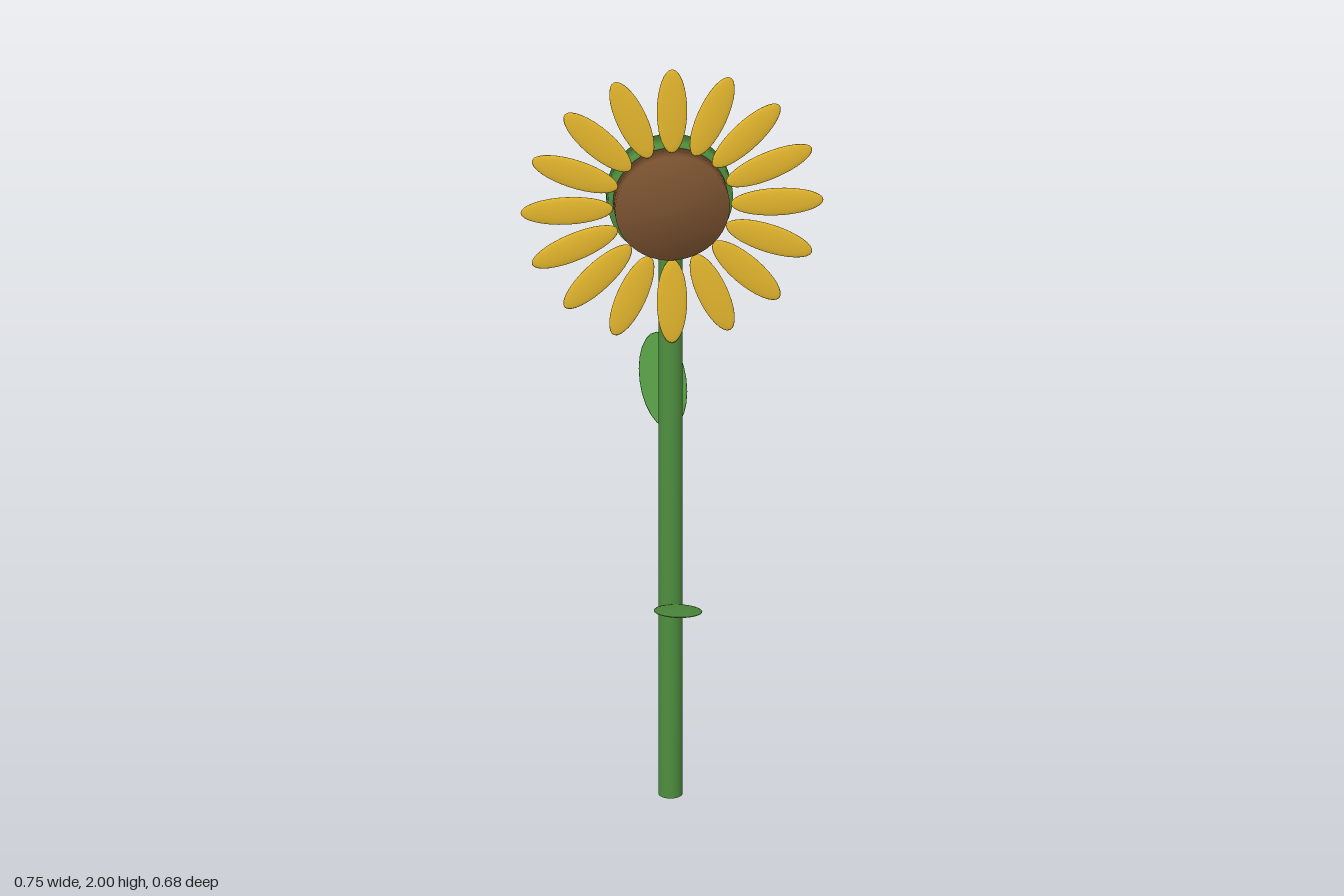
import * as THREE from 'three';
import { mergeVertices } from 'three/addons/utils/BufferGeometryUtils.js';

const green = new THREE.MeshStandardMaterial({ color: 0x4f8f3f });
const brown = new THREE.MeshStandardMaterial({ color: 0x7a5230 });
const yellow = new THREE.MeshStandardMaterial({ color: 0xe6b82e });

const HEAD_Y = 1.625;

// Closed cylinder whose normals blend softly across the rims
function softCylinder(radius, height, sides) {
  let geo = new THREE.CylinderGeometry(radius, radius, height, sides);
  geo.deleteAttribute('normal');
  geo.deleteAttribute('uv');
  geo = mergeVertices(geo);
  geo.computeVertexNormals();
  return geo;
}

// Ellipsoid given by its three half-axes
function ellipsoid(rx, ry, rz) {
  return new THREE.SphereGeometry(1, 24, 16).scale(rx, ry, rz);
}

function add(parent, name, geometry, material, x, y, z) {
  const mesh = new THREE.Mesh(geometry, material);
  mesh.name = name;
  mesh.position.set(x, y, z);
  parent.add(mesh);
  return mesh;
}

export function createModel() {
  const flower = new THREE.Group();
  flower.name = 'sunflower';

  add(flower, 'stem', softCylinder(0.03, 1.5, 32), green, 0, 0.75, 0);

  // Leaves: one rising to the front, one higher up rising to the back
  const leafGeo = ellipsoid(0.058, 0.006, 0.165);
  const leafTilt = Math.atan2(0.115, 0.31);
  add(flower, 'frontLeaf', leafGeo, green, 0, 0.588, 0.184).rotation.x = -leafTilt;
  add(flower, 'backLeaf', leafGeo, green, 0, 1.042, -0.184).rotation.x = leafTilt;

  // Flower head: seed disc in front, green base behind
  const head = new THREE.Group();
  head.name = 'flowerHead';
  head.position.y = HEAD_Y;
  flower.add(head);
  add(head, 'seedDisc', softCylinder(0.142, 0.05, 48).rotateX(Math.PI / 2), brown, 0, 0, 0.025);
  add(head, 'headBase', softCylinder(0.155, 0.053, 48).rotateX(Math.PI / 2), green, 0, 0, -0.0265);

  // Ring of petals
  const petals = new THREE.Group();
  petals.name = 'petals';
  head.add(petals);
  const petalGeo = ellipsoid(0.1145, 0.0375, 0.006);
  const count = 16;
  const ring = 0.26;
  for (let i = 0; i < count; i++) {
    const a = (i / count) * Math.PI * 2;
    add(petals, 'petal', petalGeo, yellow, Math.cos(a) * ring, Math.sin(a) * ring, 0.037).rotation.z = a;
  }
  return flower;
}
